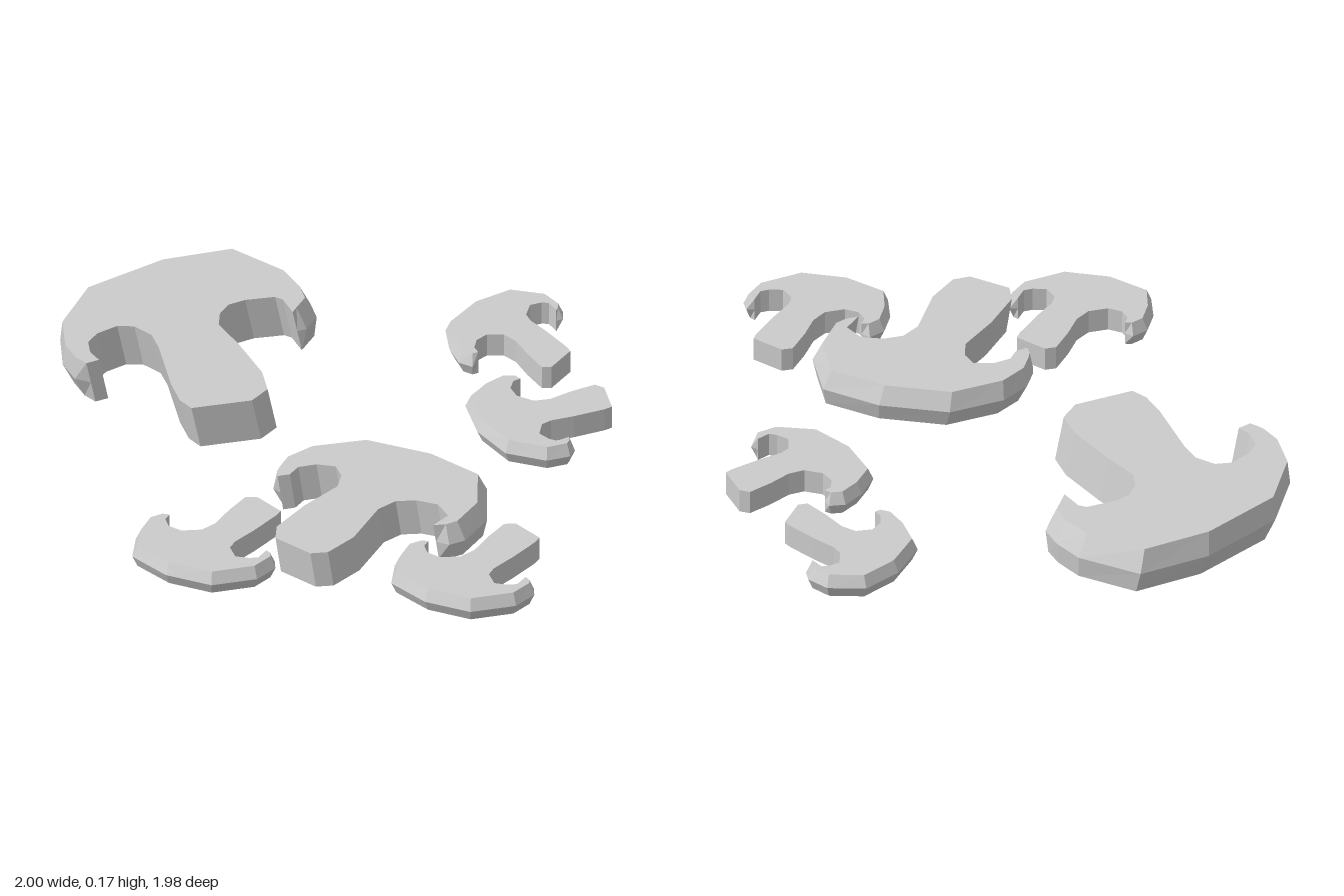
import * as THREE from 'three';

// Outlines as x, z pairs: the outer cap edge comes first, then the gills and stem.
const LARGE = {
  capPoints: 10,
  points: [
    -0.9, -0.13, -0.96, -0.21, -1, -0.36, -0.95, -0.6, -0.72, -0.83, -0.48, -0.95, -0.26, -0.85,
    -0.18, -0.76, -0.14, -0.68, -0.16, -0.6,
    -0.19, -0.58, -0.24, -0.65, -0.27, -0.66, -0.37, -0.62, -0.42, -0.58, -0.44, -0.52, -0.43, -0.45,
    -0.34, -0.35, -0.22, -0.19, -0.18, -0.09, -0.22, -0.01, -0.42, 0.08, -0.47, 0.04, -0.52, -0.05,
    -0.61, -0.27, -0.65, -0.34, -0.72, -0.38, -0.78, -0.37, -0.84, -0.31, -0.86, -0.25, -0.84, -0.19,
    -0.8, -0.15, -0.84, -0.12,
  ],
};
const MEDIUM = {
  capPoints: 10,
  points: [
    -0.08, 0.38, -0.08, 0.34, -0.06, 0.26, 0.02, 0.17, 0.21, 0.09, 0.46, 0.13, 0.66, 0.23, 0.7, 0.42,
    0.65, 0.56, 0.6, 0.6,
    0.55, 0.59, 0.59, 0.52, 0.54, 0.46, 0.46, 0.45, 0.39, 0.47, 0.34, 0.53, 0.29, 0.72, 0.22, 0.83,
    0.16, 0.85, 0.02, 0.78, 0.01, 0.71, 0.08, 0.56, 0.17, 0.42, 0.17, 0.35, 0.14, 0.3, 0.07, 0.3,
    0.01, 0.33, -0.01, 0.38, -0.05, 0.4,
  ],
};
// The small slice is drawn around the end of its stem.
const SMALL = {
  capPoints: 9,
  points: [
    -0.35, 0.11, -0.4, 0.15, -0.42, 0.24, -0.41, 0.35, -0.27, 0.44, -0.1, 0.47, 0.05, 0.4, 0.1, 0.32,
    0.09, 0.28,
    0.06, 0.28, 0.04, 0.33, 0.01, 0.34, -0.04, 0.34, -0.07, 0.29, -0.06, 0.25, -0.01, 0.17, 0.05, 0.06,
    0.06, 0.03, -0.04, -0.04, -0.08, -0.03, -0.12, 0.06, -0.15, 0.15, -0.19, 0.2, -0.26, 0.22,
    -0.31, 0.2, -0.33, 0.16, -0.32, 0.13,
  ],
};

// Slab with three rings: the cap bulges at mid height, and the sides may lean.
function sliceGeometry({ outline, height, bulge, lean = [0, 0], xAxis = [1, 0], zAxis = [0, 1], at = [0, 0] }) {
  let ring = [];
  for (let i = 0; i < outline.points.length; i += 2) {
    const [u, v] = [outline.points[i], outline.points[i + 1]];
    const p = new THREE.Vector2(u * xAxis[0] + v * zAxis[0] + at[0], u * xAxis[1] + v * zAxis[1] + at[1]);
    ring.push({ p, inset: i / 2 < outline.capPoints ? bulge : 0 });
  }
  if (THREE.ShapeUtils.area(ring.map((r) => r.p)) < 0) ring = ring.reverse();
  const n = ring.length;

  // Inward direction at each corner
  const inward = ring.map((_, i) => {
    const d = ring[(i + 1) % n].p.clone().sub(ring[(i + n - 1) % n].p).normalize();
    return new THREE.Vector2(-d.y, d.x);
  });
  const positions = [];
  for (const level of [0, 0.5, 1]) {
    ring.forEach(({ p, inset }, i) => {
      const move = level === 0.5 ? 0 : inset;
      const shift = 0.5 - level;
      positions.push(
        p.x + inward[i].x * move + lean[0] * shift,
        height * level,
        p.y + inward[i].y * move + lean[1] * shift
      );
    });
  }

  // Side walls
  const index = [];
  for (let level = 0; level < 2; level++) {
    for (let i = 0; i < n; i++) {
      const a = level * n + i;
      const b = level * n + ((i + 1) % n);
      index.push(a, a + n, b, b, a + n, b + n);
    }
  }
  // Flat bottom and top
  for (const start of [0, 2 * n]) {
    const contour = ring.map((_, i) =>
      new THREE.Vector2(positions[(start + i) * 3], positions[(start + i) * 3 + 2]));
    for (const [a, b, c] of THREE.ShapeUtils.triangulateShape(contour, [])) {
      const ccw = THREE.ShapeUtils.area([contour[a], contour[b], contour[c]]) > 0;
      const up = start > 0;
      if (ccw === up) index.push(start + a, start + c, start + b);
      else index.push(start + a, start + b, start + c);
    }
  }

  const geometry = new THREE.BufferGeometry();
  geometry.setAttribute('position', new THREE.Float32BufferAttribute(positions, 3));
  geometry.setIndex(index);
  const flat = geometry.toNonIndexed();
  flat.computeVertexNormals();
  return flat;
}

export function createModel() {
  const model = new THREE.Group();
  model.name = 'mushroomSlices';
  const material = new THREE.MeshStandardMaterial({ color: 0xcccccc, flatShading: true });
  const small = { outline: SMALL, height: 0.09, bulge: 0.02 };

  const slices = {
    largeSlice: { outline: LARGE, height: 0.17, bulge: 0.025, lean: [0.03, -0.015] },
    mediumSlice: { outline: MEDIUM, height: 0.14, bulge: 0.025, lean: [0.02, 0] },
    smallSliceFrontRight: { ...small, at: [-0.08, 0.51] },
    smallSliceFrontLeft: { ...small, at: [0.85, 0.49] },
    // turned
    smallSliceLeft: { ...small, at: [0.96, -0.39], xAxis: [0.81, 0.51], zAxis: [-0.44, 0.86] },
    // turned and mirrored
    smallSliceBack: { ...small, at: [0.75, -0.59], xAxis: [0.73, -0.44], zAxis: [-0.4, -0.96] },
  };
  for (const [name, options] of Object.entries(slices)) {
    const mesh = new THREE.Mesh(sliceGeometry(options), material);
    mesh.name = name;
    model.add(mesh);
  }
  return model;
}
